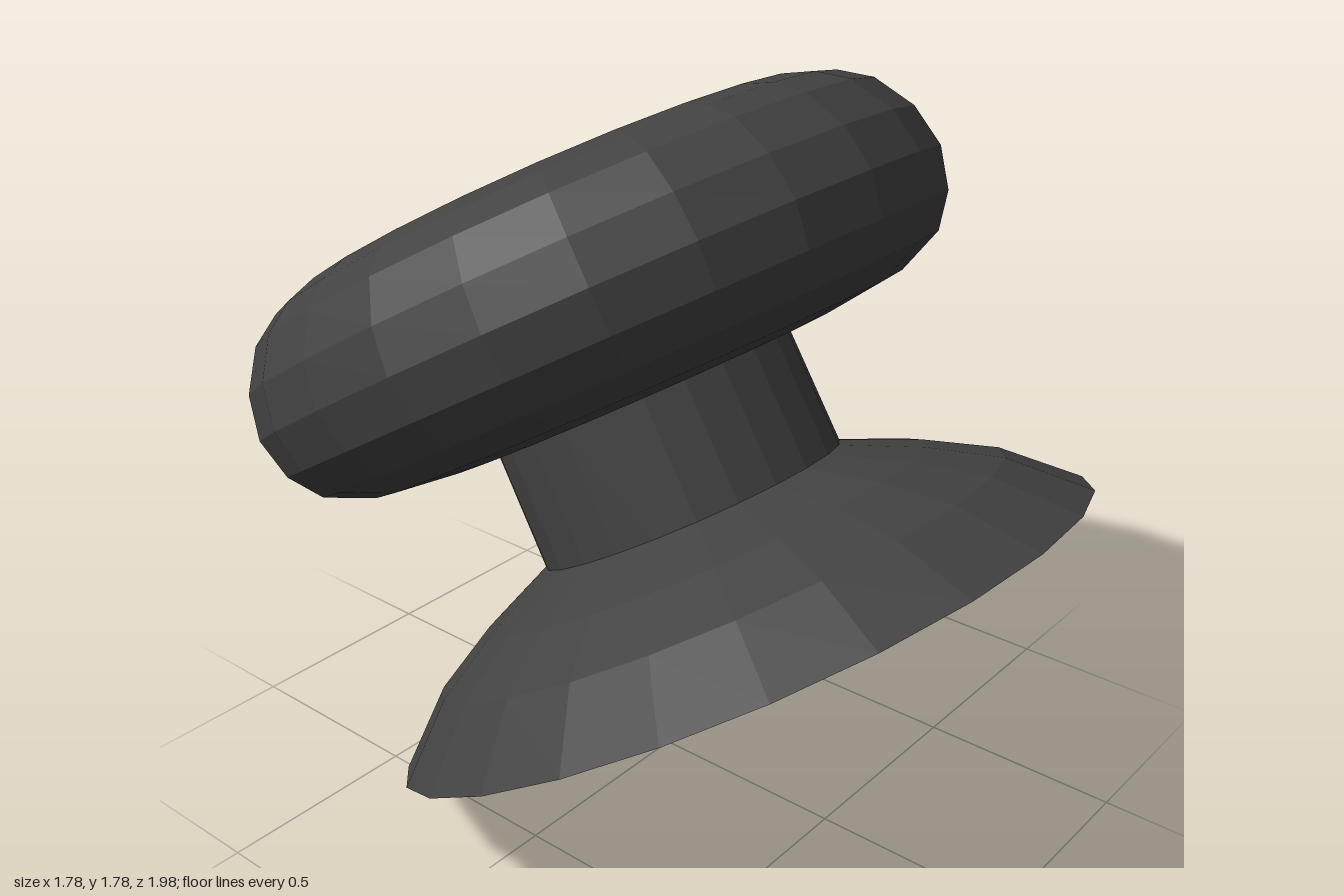
import * as THREE from 'three';

export function createModel() {
  const model = new THREE.Group();
  const rubber = new THREE.MeshStandardMaterial({ color: 0x424242, flatShading: true, side: THREE.DoubleSide });
  rubber.name = 'dark grey';

  // All parts turn around one leaning axis
  const stick = new THREE.Group();
  stick.name = 'tiltedStick';
  stick.position.set(0, 0.46, 0.24);
  stick.rotation.x = THREE.MathUtils.degToRad(-31.2);
  model.add(stick);

  const turn = (name, profile) => {
    const points = profile.map(([r, y]) => new THREE.Vector2(r, y));
    const mesh = new THREE.Mesh(new THREE.LatheGeometry(points, 24), rubber);
    mesh.name = name;
    stick.add(mesh);
  };

  // Hollow flared skirt, open underneath
  turn('baseSkirt', [[0.888, 0], [0.73, 0.145], [0.57, 0.235], [0.385, 0.315]]);

  // Hollow stem joining the skirt and the cap
  turn('stem', [[0.385, 0.315], [0.38, 0.615]]);

  // Rounded thumb cap, open to the stem
  turn('capRim', [
    [0.38, 0.615], [0.52, 0.615], [0.68, 0.635], [0.79, 0.685], [0.845, 0.76], [0.868, 0.86],
    [0.848, 0.965], [0.79, 1.06], [0.72, 1.11], [0.645, 1.138],
  ]);

  // Shallow dish in the top of the cap
  turn('capDish', [[0.645, 1.138], [0.585, 1.09], [0, 1.085]]);

  return model;
}
